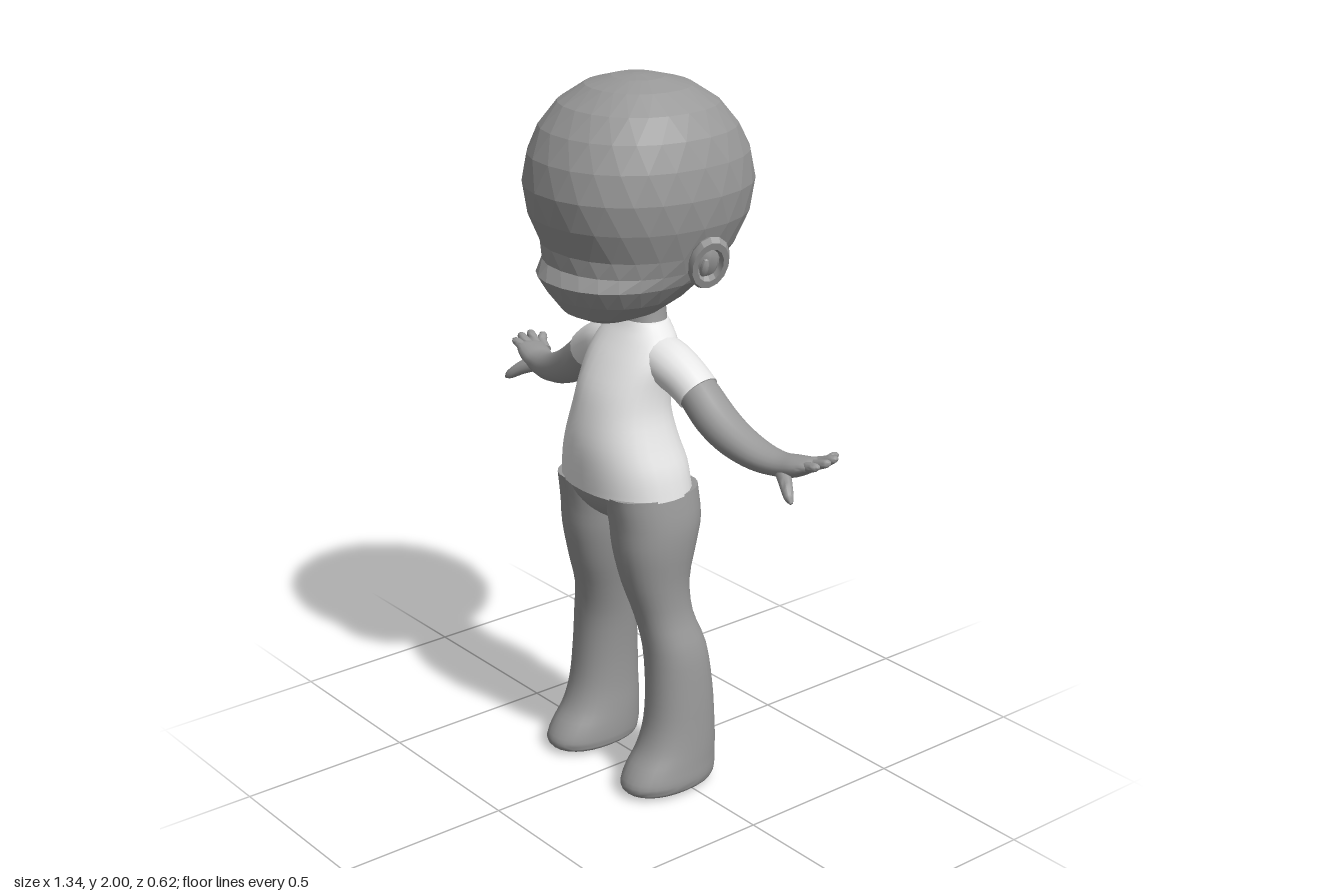
import * as THREE from 'three';
import { toCreasedNormals } from 'three/addons/utils/BufferGeometryUtils.js';

const grey = new THREE.MeshStandardMaterial({ color: 0x999999 });
grey.name = 'bodyGrey';
const white = new THREE.MeshStandardMaterial({ color: 0xe6e6e6 });
white.name = 'shirtWhite';

// Smoothly fill in rows of numbers with n steps between neighbours
function refine(rows, n) {
  const out = [];
  const at = (i) => rows[Math.min(Math.max(i, 0), rows.length - 1)];
  for (let i = 0; i < rows.length - 1; i++) {
    for (let k = 0; k < n; k++) {
      const t = k / n;
      out.push(rows[i].map((b, c) => {
        const a = at(i - 1)[c], d = at(i + 1)[c], e = at(i + 2)[c];
        return b + 0.5 * t * (d - a + t * (2 * a - 5 * b + 4 * d - e + t * (3 * (b - d) + e - a)));
      }));
    }
  }
  out.push(rows[rows.length - 1]);
  return out;
}

// Skin a list of closed rings and cap both ends
function loft(rings) {
  const n = rings[0].length, pos = [], idx = [];
  rings.forEach((r) => r.forEach((p) => pos.push(p.x, p.y, p.z)));
  for (let i = 0; i < rings.length - 1; i++) {
    for (let j = 0; j < n; j++) {
      const a = i * n + j, b = i * n + (j + 1) % n;
      idx.push(a, a + n, b, b, a + n, b + n);
    }
  }
  [0, rings.length - 1].forEach((i) => {
    const c = rings[i].reduce((s, p) => s.add(p), new THREE.Vector3()).divideScalar(n);
    const ci = pos.length / 3;
    pos.push(c.x, c.y, c.z);
    for (let j = 0; j < n; j++) {
      const a = i * n + j, b = i * n + (j + 1) % n;
      if (i === 0) idx.push(ci, a, b);
      else idx.push(ci, b, a);
    }
  });
  const g = new THREE.BufferGeometry();
  g.setAttribute('position', new THREE.Float32BufferAttribute(pos, 3));
  g.setIndex(idx);
  g.computeVertexNormals();
  return g;
}

// Upright form from rows [y, xMin, xMax, zBack, zFront], bottom to top
function stack(rows, { steps = 3, sides = 28, power = 2.2, twist = 0 } = {}) {
  const bend = (v) => Math.sign(v) * Math.abs(v) ** (2 / power);
  return loft(refine(rows, steps).map(([y, x0, x1, z0, z1], i) =>
    Array.from({ length: sides }, (_, j) => {
      const t = ((j + i * twist) / sides) * Math.PI * 2;
      return new THREE.Vector3(
        (x0 + x1) / 2 + ((x1 - x0) / 2) * bend(Math.cos(t)), y,
        (z0 + z1) / 2 + ((z1 - z0) / 2) * bend(Math.sin(t)));
    })));
}
const centred = (rows) => rows.map(([y, w, b, f]) => [y, -w, w, b, f]);

// Limb along rows [x, y, z, radius up, radius in depth]
function limb(rows, sides = 18, steps = 4) {
  const fine = refine(rows, steps);
  const P = fine.map((r) => new THREE.Vector3(r[0], r[1], r[2]));
  return loft(fine.map((r, i) => {
    const d = P[Math.min(i + 1, P.length - 1)].clone().sub(P[Math.max(i - 1, 0)]).normalize();
    const N = new THREE.Vector3(0, 0, 1).cross(d).normalize();
    const B = N.clone().cross(d);
    return Array.from({ length: sides }, (_, j) => {
      const t = (j / sides) * Math.PI * 2;
      return P[i].clone().addScaledVector(N, Math.cos(t) * r[3]).addScaledVector(B, Math.sin(t) * r[4]);
    });
  }));
}

function mirrored(g) {
  const m = g.clone().scale(-1, 1, 1), a = m.index.array;
  for (let i = 0; i < a.length; i += 3) [a[i], a[i + 1]] = [a[i + 1], a[i]];
  return m;
}

export function createModel() {
  const model = new THREE.Group();
  const add = (name, geo, mat, crease = 0.9) => {
    const mesh = new THREE.Mesh(toCreasedNormals(geo, crease), mat);
    mesh.name = name;
    model.add(mesh);
  };
  const pair = (name, geo, mat, crease) => {
    add('left' + name, geo, mat, crease);
    add('right' + name, mirrored(geo), mat, crease);
  };

  // Large faceted head with a protruding mouth area
  const head = stack(centred([
    [1.36, 0.06, 0.02, 0.17], [1.385, 0.12, -0.04, 0.225], [1.43, 0.175, -0.105, 0.258],
    [1.48, 0.212, -0.17, 0.287], [1.515, 0.226, -0.212, 0.262], [1.56, 0.243, -0.255, 0.264],
    [1.64, 0.27, -0.295, 0.297], [1.72, 0.28, -0.31, 0.312], [1.8, 0.27, -0.295, 0.298],
    [1.87, 0.247, -0.257, 0.263], [1.93, 0.205, -0.205, 0.21], [1.975, 0.14, -0.135, 0.14],
    [1.995, 0.07, -0.06, 0.07], [2.0, 0.015, -0.01, 0.02],
  ]), { steps: 1, sides: 24, twist: 0.5 });
  add('head', head, grey, 0.01);

  // Ears: a rim around a shallow bowl, leaning outwards
  const placeEar = (g) => g.rotateY(-0.35).rotateZ(-0.3).translate(0.272, 1.55, -0.012);
  pair('EarRim', placeEar(new THREE.TorusGeometry(0.042, 0.014, 6, 14)
    .rotateY(Math.PI / 2).scale(1.3, 1.4, 1)), grey, 0.4);
  pair('EarBowl', placeEar(new THREE.SphereGeometry(0.046, 12, 8)
    .scale(0.75, 1.35, 0.95).translate(-0.026, -0.005, 0)), grey, 0.4);
  pair('EarFold', placeEar(new THREE.SphereGeometry(0.015, 8, 6)
    .scale(0.8, 1.8, 0.8).translate(0.006, -0.012, 0.012)), grey, 0.4);

  add('neck', stack(centred([
    [1.3, 0.085, -0.075, 0.06], [1.345, 0.072, -0.07, 0.048], [1.43, 0.062, -0.066, 0.045],
  ])), grey);

  // Short-sleeved shirt
  add('shirtBody', stack(centred([
    [0.88, 0.207, -0.105, 0.195], [0.95, 0.192, -0.098, 0.2], [1.02, 0.166, -0.078, 0.199],
    [1.1, 0.142, -0.062, 0.184], [1.17, 0.137, -0.066, 0.162], [1.24, 0.142, -0.077, 0.122],
    [1.29, 0.13, -0.078, 0.085], [1.32, 0.1, -0.076, 0.062], [1.34, 0.078, -0.072, 0.05],
  ])), white);
  pair('Sleeve', limb([
    [0.05, 1.258, 0, 0.06, 0.07], [0.13, 1.238, -0.003, 0.064, 0.07],
    [0.19, 1.212, -0.008, 0.06, 0.065], [0.235, 1.182, -0.012, 0.058, 0.062],
  ]), white);

  // Arm tapering into a flat palm
  pair('Arm', limb([
    [0.19, 1.212, -0.01, 0.05, 0.055], [0.235, 1.182, -0.013, 0.053, 0.058],
    [0.3, 1.128, -0.018, 0.054, 0.06], [0.37, 1.09, -0.025, 0.049, 0.056],
    [0.45, 1.065, -0.037, 0.04, 0.05], [0.52, 1.058, -0.052, 0.032, 0.043],
    [0.57, 1.065, -0.068, 0.028, 0.048], [0.61, 1.077, -0.082, 0.017, 0.045],
    [0.622, 1.08, -0.086, 0.008, 0.035],
  ]), grey);

  // Four fingers and a lowered thumb
  [[0.64, -0.138, 1.094], [0.665, -0.112, 1.098], [0.67, -0.082, 1.095], [0.66, -0.054, 1.088]]
    .forEach(([x, z, y], i) => {
      const z0 = -0.112 + i * 0.019;
      pair('Finger' + (i + 1), limb([
        [0.575, 1.067, z0, 0.014, 0.014], [0.615, 1.079, (z0 + z) / 2, 0.014, 0.015],
        [x - 0.012, y, z, 0.011, 0.013], [x, y + 0.004, z, 0.003, 0.004],
      ], 10, 3), grey);
    });
  pair('Thumb', limb([
    [0.53, 1.052, -0.045, 0.022, 0.022], [0.57, 1.034, -0.022, 0.02, 0.018],
    [0.607, 1.007, -0.002, 0.014, 0.013], [0.622, 0.994, 0.002, 0.004, 0.005],
  ], 10, 3), grey);

  // Hips bridging the two legs
  add('hips', stack(centred([
    [0.775, 0.05, -0.03, 0.08], [0.8, 0.12, -0.075, 0.135],
    [0.84, 0.195, -0.097, 0.17], [0.885, 0.203, -0.1, 0.19],
  ])), grey);

  // Legs widening downwards into rounded feet
  pair('Leg', stack([
    [0, 0.11, 0.235, -0.08, 0.14], [0.014, 0.085, 0.258, -0.105, 0.176],
    [0.04, 0.08, 0.265, -0.115, 0.185], [0.08, 0.08, 0.263, -0.116, 0.163],
    [0.13, 0.083, 0.26, -0.115, 0.125], [0.2, 0.087, 0.256, -0.111, 0.1],
    [0.3, 0.085, 0.25, -0.105, 0.09], [0.42, 0.074, 0.238, -0.09, 0.09],
    [0.52, 0.055, 0.211, -0.06, 0.105], [0.62, 0.03, 0.208, -0.056, 0.135],
    [0.72, 0.009, 0.217, -0.08, 0.157], [0.8, 0.001, 0.217, -0.1, 0.165],
    [0.885, 0.001, 0.203, -0.098, 0.182],
  ]), grey);

  return model;
}
